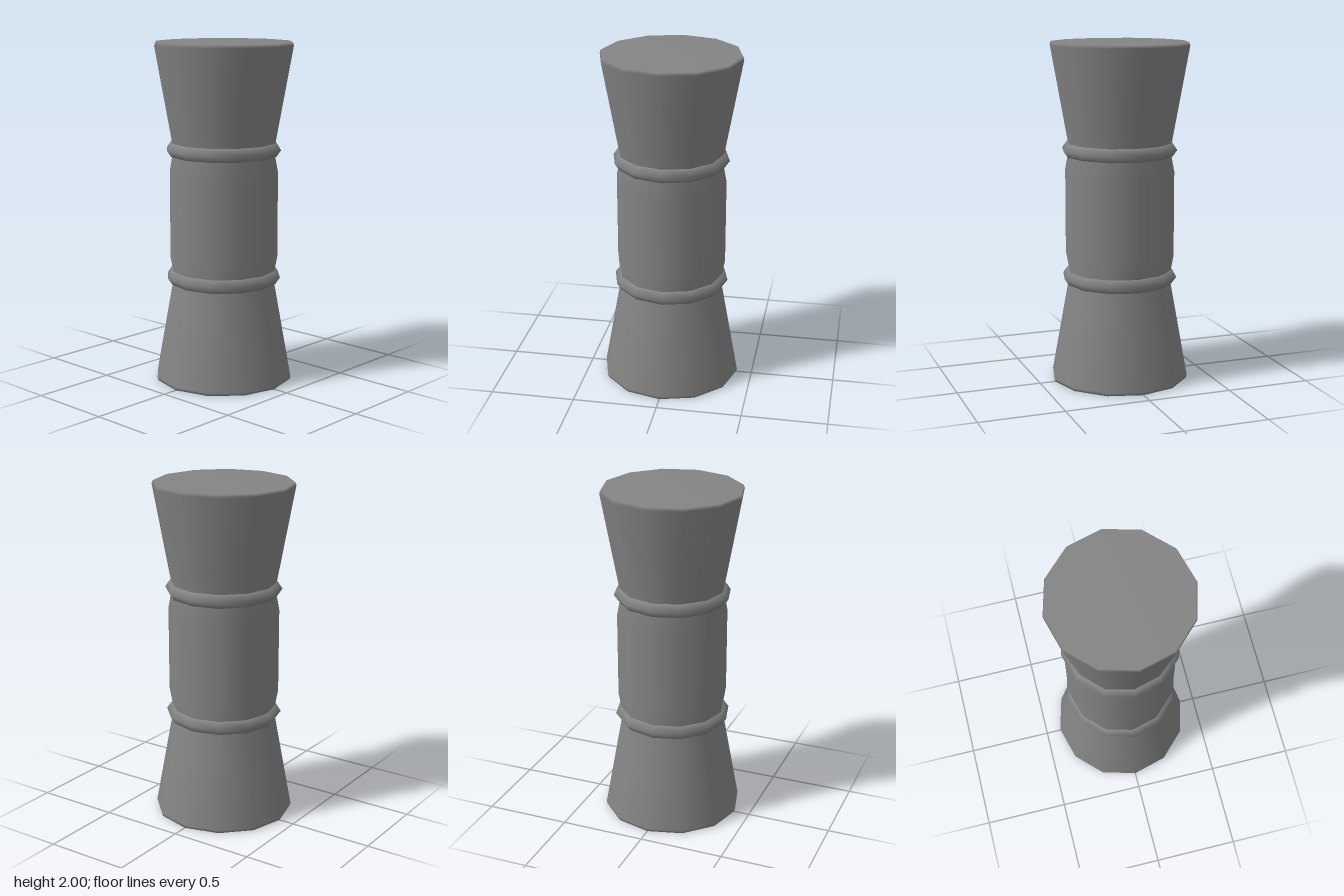
import * as THREE from 'three';

const SIDES = 12;
const material = new THREE.MeshStandardMaterial({ color: 0x848484 });

// Turned part; each profile point is [radius, y, normal slope angle in degrees, 0 = outward, 90 = up]
function addTurned(parent, name, profile) {
  const points = profile.map(([r, y]) => new THREE.Vector2(r, y));
  const geometry = new THREE.LatheGeometry(points, SIDES);
  const normals = geometry.attributes.normal;
  for (let i = 0; i < normals.count; i++) {
    const turn = Math.floor(i / profile.length) * 2 * Math.PI / SIDES;
    const slope = THREE.MathUtils.degToRad(profile[i % profile.length][2]);
    const out = Math.cos(slope);
    normals.setXYZ(i, out * Math.sin(turn), Math.sin(slope), out * Math.cos(turn));
  }
  const mesh = new THREE.Mesh(geometry, material);
  mesh.name = name;
  parent.add(mesh);
}

// Flared end with its cap and collar ring, built for the lower half (origin at mid height)
function createEnd(name) {
  const end = new THREE.Group();
  end.name = name;
  addTurned(end, 'flare', [[0, -1, -90], [0.405, -1, -88], [0.411, -0.982, 9], [0.308, -0.415, 10], [0.302, -0.379, 10]]);
  addTurned(end, 'collarRing', [[0.29, -0.418, -80], [0.315, -0.418, -55], [0.342, -0.379, 0],
    [0.315, -0.34, 55], [0.29, -0.34, 80]]);
  return end;
}

export function createModel() {
  const model = new THREE.Group();
  model.name = 'flaredHandle';

  const handle = new THREE.Group();
  handle.name = 'handle';
  handle.position.y = 1;
  model.add(handle);

  // Central grip, tapering slightly into each ring
  addTurned(handle, 'grip', [[0.3, -0.379, -3], [0.309, -0.335, -3], [0.325, -0.25, 0],
    [0.325, 0.25, 0], [0.309, 0.335, 3], [0.3, 0.379, 3]]);

  // The same end, turned over for the top
  const upper = createEnd('upperEnd');
  upper.rotation.x = Math.PI;
  handle.add(createEnd('lowerEnd'), upper);

  return model;
}
